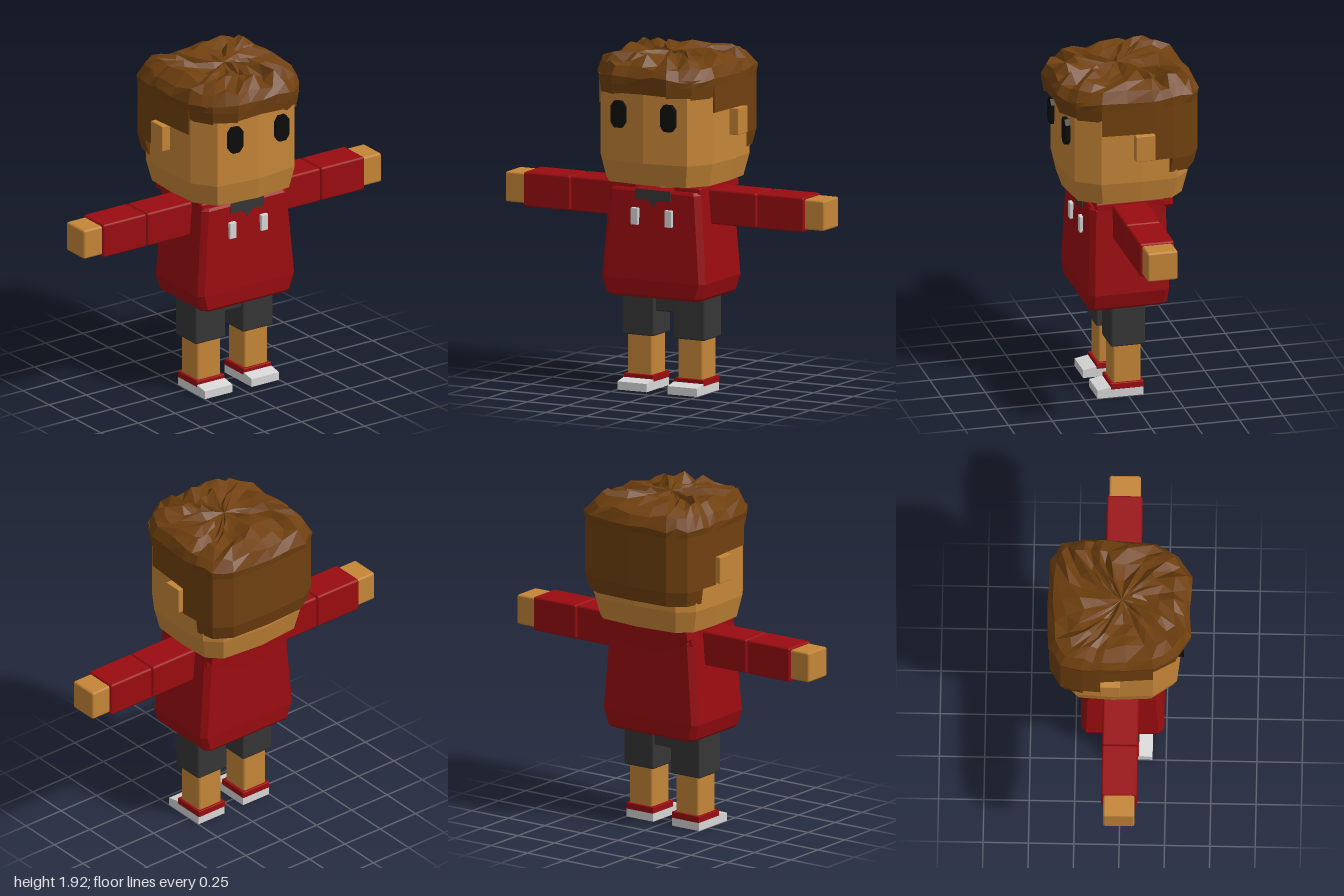
import * as THREE from 'three';
import { RoundedBoxGeometry } from 'three/addons/geometries/RoundedBoxGeometry.js';

const mat = (name, color) => {
  const m = new THREE.MeshStandardMaterial({ color });
  m.name = name;
  return m;
};

// Flat-faced solid through rings of [x, y, z], each running from front to +x to back
function loft(rings, apex) {
  const pos = [], n = rings[0].length;
  const tri = (a, b, c) => pos.push(...a, ...b, ...c);
  const mid = r => [0, 1, 2].map(k => r.reduce((s, p) => s + p[k], 0) / n);
  const last = rings[rings.length - 1];
  const low = mid(rings[0]), high = apex || mid(last);
  for (let i = 0; i < n; i++) {
    const j = (i + 1) % n;
    for (let r = 0; r < rings.length - 1; r++) {
      const a = rings[r], b = rings[r + 1];
      tri(a[i], a[j], b[j]);
      tri(a[i], b[j], b[i]);
    }
    tri(low, rings[0][j], rings[0][i]);
    tri(high, last[i], last[j]);
  }
  const g = new THREE.BufferGeometry();
  g.setAttribute('position', new THREE.Float32BufferAttribute(pos, 3));
  g.computeVertexNormals();
  return g;
}

// Mirrors a half outline of [x, z] (front centre to back centre) into a closed one
const closed = half => [...half, ...half.slice(1, -1).reverse().map(([x, z]) => [-x, z])];
const level = (outline, y, s = 1) => outline.map(([x, z]) => [x * s, y, z * s]);
const shapeOf = pts => new THREE.Shape(pts.map(p => new THREE.Vector2(...p)));
const slab = (pts, depth) => new THREE.ExtrudeGeometry(shapeOf(pts), { depth, bevelEnabled: false });

let seed = 11;
const noise = () => {
  seed = (seed * 16807) % 2147483647;
  return seed / 1073741823.5 - 1;
};

export function createModel() {
  const root = new THREE.Group();
  const skin = mat('skin', 0xc58537), hair = mat('brown hair', 0x70400f), red = mat('red cloth', 0x9a0c10);
  const dark = mat('charcoal cloth', 0x363636), white = mat('off white', 0xd6d6d6), black = mat('black', 0x0c0c0c);

  const add = (name, geo, material, x = 0, y = 0, z = 0) => {
    const m = new THREE.Mesh(geo, material);
    m.name = name;
    m.position.set(x, y, z);
    root.add(m);
    return m;
  };
  // Softly bevelled box given by its limits
  const box = (name, material, x0, x1, y0, y1, z0, z1, r = 0.012) =>
    add(name, new RoundedBoxGeometry(x1 - x0, y1 - y0, z1 - z0, 1, r), material,
      (x0 + x1) / 2, (y0 + y1) / 2, (z0 + z1) / 2);

  // Head and neck
  const headLine = closed([[0, 0.34], [0.26, 0.31], [0.35, 0.18], [0.362, -0.05],
    [0.35, -0.25], [0.27, -0.33], [0, -0.355]]);
  add('head', loft([level(headLine, 1.185, 0.92), level(headLine, 1.31), level(headLine, 1.78)]), skin);
  add('neck', new THREE.CylinderGeometry(0.12, 0.12, 0.12, 8).toNonIndexed(), skin, 0, 1.15, 0.01)
    .geometry.computeVertexNormals();

  // Hair walls: each stretch of the outline hangs to its own height
  const hairHalf = [[0, 0.37], [0.17, 0.385], [0.29, 0.31], [0.362, 0.18], [0.383, -0.11],
    [0.375, -0.22], [0.35, -0.33], [0.25, -0.393], [0, -0.405]];
  const hems = [1.7, 1.69, 1.68, 1.6, 1.44, 1.35, 1.35, 1.35];
  const hairLine = closed(hairHalf);
  const count = hairLine.length;
  hairLine.forEach((p, i) => {
    const q = hairLine[(i + 1) % count];
    const k = i < hems.length ? i : count - 1 - i;
    const hem = hems[k];
    const tip = k < 3 ? 0.97 : k < 5 ? 1 : 0.95;
    const ring = (y, s) => [[p, s], [q, s], [q, 0.85], [p, 0.85]].map(([[x, z], f]) => [x * f, y, z * f]);
    add('hairSide', loft([ring(hem, tip), ring(hem + 0.085, 1), ring(1.79, 1)]), hair);
  });

  // Tousled crown: jittered rings closing on the top
  const fine = hairLine.flatMap((p, i) => {
    const q = hairLine[(i + 1) % count];
    return [p, [(p[0] + q[0]) / 2, (p[1] + q[1]) / 2]];
  });
  const crown = [[1.75, 1, 0, 0], [1.79, 1.01, 0.015, 0.012], [1.85, 0.93, 0.018, 0.02],
    [1.88, 0.77, 0.035, 0.05], [1.885, 0.56, 0.035, 0.06], [1.885, 0.34, 0.03, 0.06], [1.885, 0.15, 0.02, 0.03]]
    .map(([y, s, dy, ds]) => fine.map(([x, z]) => {
      const f = s + noise() * ds;
      return [x * f, y + noise() * dy, z * f];
    }));
  add('hairCrown', loft(crown, [0, 1.89, 0]), hair);

  // Hoodie torso
  const torsoRing = (y, w, f, b, c = 0.03) => closed([[0, f], [w - c, f], [w, f - c], [w, b + c], [w - c, b], [0, b]])
    .map(([x, z]) => [x, y, z]);
  add('hoodieBody', loft([torsoRing(0.54, 0.285, 0.225, -0.205), torsoRing(0.555, 0.3, 0.236, -0.215),
    torsoRing(0.64, 0.325, 0.24, -0.22), torsoRing(1.13, 0.285, 0.222, -0.21),
    torsoRing(1.145, 0.275, 0.212, -0.2)]), red);

  // Hood folded down the back
  const hood = [[0.28, 1.18], [0.285, 1.13], [0.2, 1.07], [0.09, 1.03]];
  const mirrored = hood.map(([x, y]) => [-x, y]);
  add('hood', slab([...mirrored, ...hood.slice().reverse()], 0.1), red, 0, 0, -0.245);

  // Shirt collar in the neckline
  const collar = [[0, 1.05], [0.03, 1.088], [0.11, 1.088], [0.11, 1.145]];
  add('shirtCollar', slab([...collar, ...collar.slice(1).reverse().map(([x, y]) => [-x, y])], 0.008),
    dark, 0, 0, 0.22);
  box('shortsMiddle', dark, -0.07, 0.07, 0.44, 0.545, -0.08, 0.08);

  const eye = [[-0.022, -0.075], [0.022, -0.075], [0.045, -0.045], [0.045, 0.045],
    [0.022, 0.075], [-0.022, 0.075], [-0.045, 0.045], [-0.045, -0.045]];
  const sole = [[-0.085, 0], [0.175, 0], [0.175, 0.046], [0.1, 0.06], [-0.085, 0.06]];

  for (const s of [1, -1]) {
    const side = s > 0 ? 'left' : 'right';
    const pair = (name, material, a, b, ...rest) =>
      box(side + name, material, Math.min(s * a, s * b), Math.max(s * a, s * b), ...rest);

    // Face
    add(side + 'Eye', slab(eye, 0.04), black, s * 0.155, 1.575, 0.306);
    pair('Ear', skin, 0.33, 0.413, 1.45, 1.6, -0.112, -0.002, 0.004);

    // Hoodie shoulder, drawstring, arm
    pair('Shoulder', red, 0.115, 0.285, 1.08, 1.172, -0.2, 0.195);
    pair('Drawstring', white, 0.083, 0.128, 0.945, 1.04, 0.2, 0.246, 0.004);
    pair('UpperArm', red, 0.2, 0.582, 0.96, 1.155, -0.097, 0.1);
    pair('Forearm', red, 0.585, 0.878, 0.96, 1.155, -0.097, 0.1);
    pair('Hand', skin, 0.87, 1, 0.975, 1.145, -0.085, 0.088);

    // Leg and shoe
    pair('ShortsLeg', dark, 0.058, 0.26, 0.3, 0.545, -0.095, 0.103);
    pair('Shin', skin, 0.08, 0.236, 0.07, 0.31, -0.075, 0.085);
    pair('ShoeUpper', red, 0.064, 0.25, 0.045, 0.082, -0.088, 0.1, 0.004);
    const shoe = add(side + 'ShoeSole', slab(sole, 0.184), white, s * 0.157 + 0.092, 0, 0);
    shoe.rotation.y = -Math.PI / 2;
  }
  return root;
}
